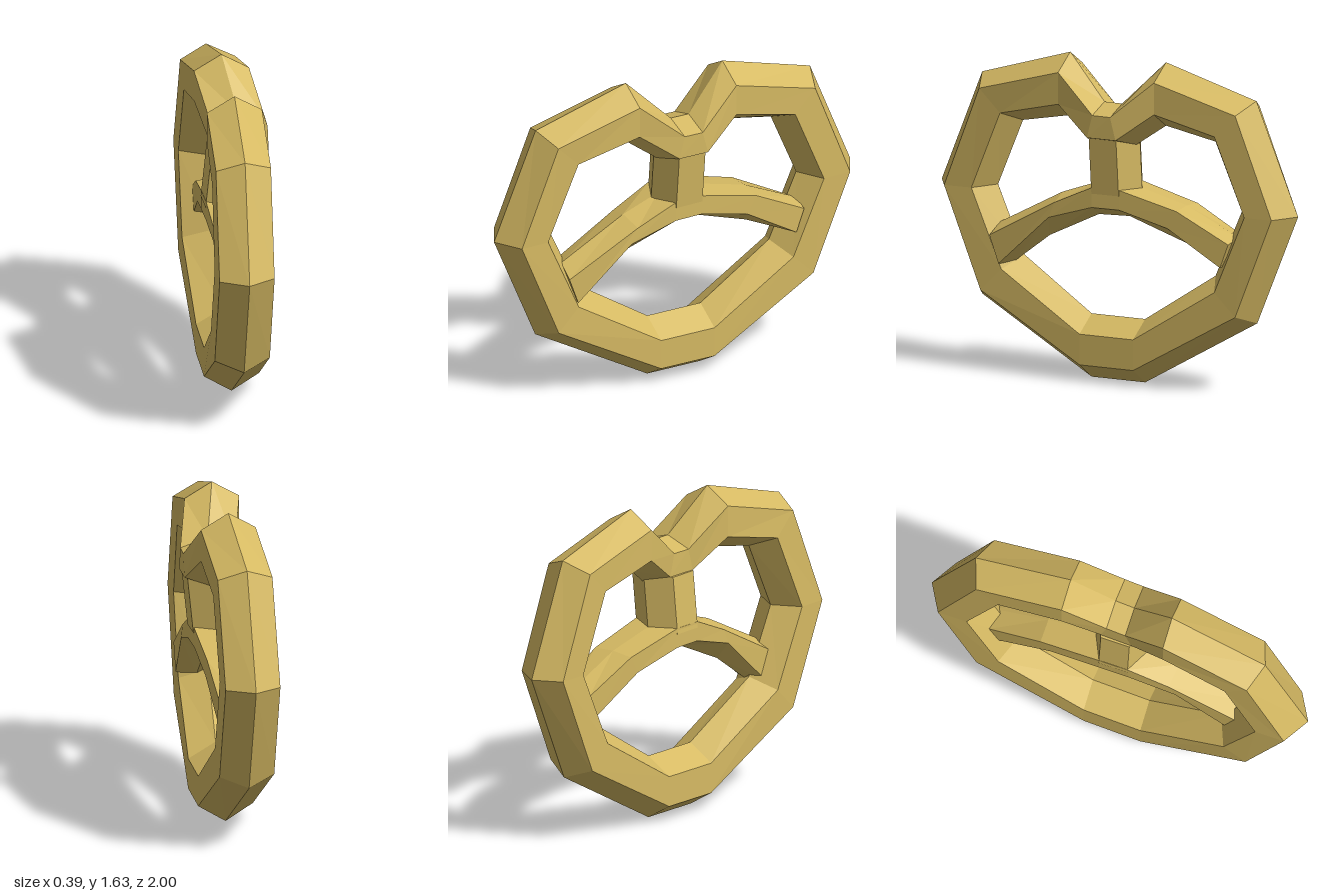
import * as THREE from 'three';

const material = new THREE.MeshStandardMaterial({ color: 0xd6ba63, flatShading: true });

// Six-sided section: outer ridge, outer shoulder, inner shoulder and inner ridge, mirrored about x = xc
function section(xc, h, at) {
  const [o, fo, fi, i] = at;
  return [[xc, o], [xc + h, fo], [xc + h, fi], [xc, i], [xc - h, fi], [xc - h, fo]]
    .map(([x, p]) => new THREE.Vector3(x, p[1], p[0]));
}

// Joins consecutive sections with flat faces; open strands get end caps
function strand(name, sections, closed = false) {
  const pos = [];
  const tri = (...pts) => pts.forEach((p) => pos.push(p.x, p.y, p.z));
  const n = sections.length;
  for (let i = 0; i < (closed ? n : n - 1); i++) {
    const s = sections[i], t = sections[(i + 1) % n];
    for (let j = 0; j < 6; j++) {
      const k = (j + 1) % 6;
      tri(s[j], t[j], t[k]);
      tri(s[j], t[k], s[k]);
    }
  }
  if (!closed) {
    const a = sections[0], b = sections[n - 1];
    for (let j = 1; j < 5; j++) {
      tri(a[0], a[j], a[j + 1]);
      tri(b[0], b[j + 1], b[j]);
    }
  }
  const geometry = new THREE.BufferGeometry();
  geometry.setAttribute('position', new THREE.Float32BufferAttribute(pos, 3));
  geometry.computeVertexNormals();
  const mesh = new THREE.Mesh(geometry, material);
  mesh.name = name;
  return mesh;
}

export function createModel() {
  const group = new THREE.Group();
  group.name = 'pretzel';

  // Outer loop: [z, y] of ridge, shoulders and inner ridge for one lobe, from notch to base
  const lobe = [
    [[0.05, 1.41], [0.05, 1.365], [0.08, 1.25], [0.13, 1.21]],
    [[0.27, 1.63], [0.27, 1.55], [0.27, 1.39], [0.27, 1.31]],
    [[0.77, 1.48], [0.72, 1.425], [0.605, 1.31], [0.545, 1.255]],
    [[1, 0.915], [0.92, 0.915], [0.77, 0.915], [0.69, 0.915]],
    [[0.77, 0.355], [0.715, 0.405], [0.6, 0.52], [0.54, 0.575]],
    [[0.15, 0], [0.15, 0.085], [0.15, 0.24], [0.15, 0.32]],
  ];
  const frontX = [0.05, -0.015, -0.045, -0.06, -0.05, -0.01];
  const backX = [0.055, 0.01, 0.015, 0.015, 0.005, 0];
  const front = lobe.map((at, i) => section(frontX[i], 0.138, at));
  const back = lobe.map((at, i) => section(backX[i], 0.138, at.map(([z, y]) => [-z, y])));
  group.add(strand('outerLoop', [...front, ...back.reverse()], true));

  // Upright stem below the notch
  const stem = [[1.25, 0.04], [0.96, 0.01]].map(([y, xc]) =>
    section(xc, 0.137, [[0.14, y], [0.075, y], [-0.075, y], [-0.14, y]]));
  group.add(strand('stem', stem));

  // Crossed arms arching from one side of the loop to the other
  group.add(strand('arms', [
    section(0.03, 0.1, [[-0.68, 0.785], [-0.67, 0.765], [-0.625, 0.645], [-0.6, 0.63]]),
    section(0.02, 0.12, [[-0.39, 0.92], [-0.39, 0.91], [-0.34, 0.82], [-0.4, 0.725]]),
    section(0.01, 0.135, [[-0.1, 0.995], [-0.075, 0.99], [-0.075, 0.89], [-0.07, 0.835]]),
    section(0.01, 0.135, [[0.1, 0.995], [0.075, 0.99], [0.075, 0.89], [0.1, 0.83]]),
    section(0.01, 0.12, [[0.3, 0.925], [0.285, 0.895], [0.32, 0.815], [0.37, 0.7]]),
    section(0, 0.1, [[0.65, 0.74], [0.66, 0.69], [0.61, 0.55], [0.58, 0.54]]),
  ]));

  return group;
}
